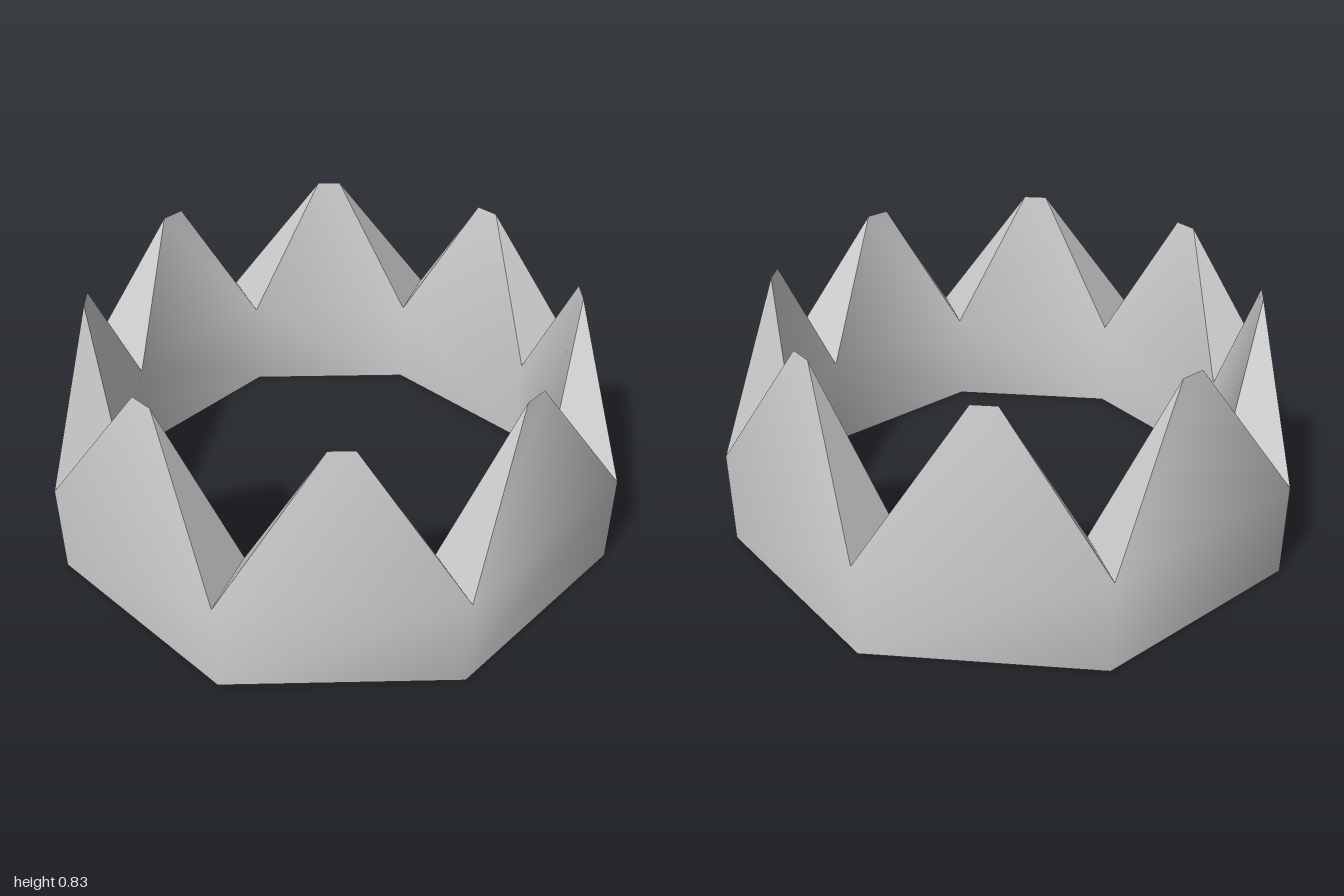
import * as THREE from 'three';

const SIDES = 8, OUTER = 1, INNER = 0.766, VALLEY = 0.33, TIP = 0.83;
const TIP_RADIUS = (OUTER + INNER) / 2;

const corner = (i, radius, y) => {
  const a = (i / SIDES) * Math.PI * 2;
  return new THREE.Vector3(Math.sin(a) * radius, y, Math.cos(a) * radius);
};

// Point on the short ridge that tops spike i; t runs from corner i to i + 1
const ridge = (i, t) => corner(i, TIP_RADIUS, TIP).lerp(corner(i + 1, TIP_RADIUS, TIP), t);

function toMesh(name, points, index) {
  const geometry = new THREE.BufferGeometry().setFromPoints(points);
  if (index) geometry.setIndex(index);
  geometry.computeVertexNormals();
  const material = new THREE.MeshStandardMaterial({ color: 0xcccccc, side: THREE.DoubleSide });
  const mesh = new THREE.Mesh(geometry, material);
  mesh.name = name;
  return mesh;
}

// Smooth eight-sided wall: an upright band, then a spike leaning to the ridge
function wall(name, radius, inward) {
  const points = [], index = [];
  const quad = (a, b, c, d) => index.push(...(inward ? [a, c, b, a, d, c] : [a, b, c, a, c, d]));
  for (let i = 0; i < SIDES; i++) {
    points.push(corner(i, radius, 0), corner(i, radius, VALLEY), ridge(i, 0.44), ridge(i, 0.56));
    const p = i * 4, n = ((i + 1) % SIDES) * 4;
    quad(p, n, n + 1, p + 1);
    quad(p + 1, n + 1, p + 3, p + 2);
  }
  return toMesh(name, points, index);
}

// Sharp triangular flanks that join both walls on either side of each valley
function notches() {
  const points = [];
  for (let i = 0; i < SIDES; i++) {
    const out = corner(i, OUTER, VALLEY), inn = corner(i, INNER, VALLEY);
    points.push(out, ridge(i, 0.44), inn);
    points.push(out, inn, ridge(i - 1, 0.56));
  }
  return toMesh('spikeFlanks', points);
}

export function createModel() {
  const crown = new THREE.Group();
  crown.name = 'crown';
  crown.add(wall('outerWall', OUTER, false), wall('innerWall', INNER, true), notches());
  return crown;
}
